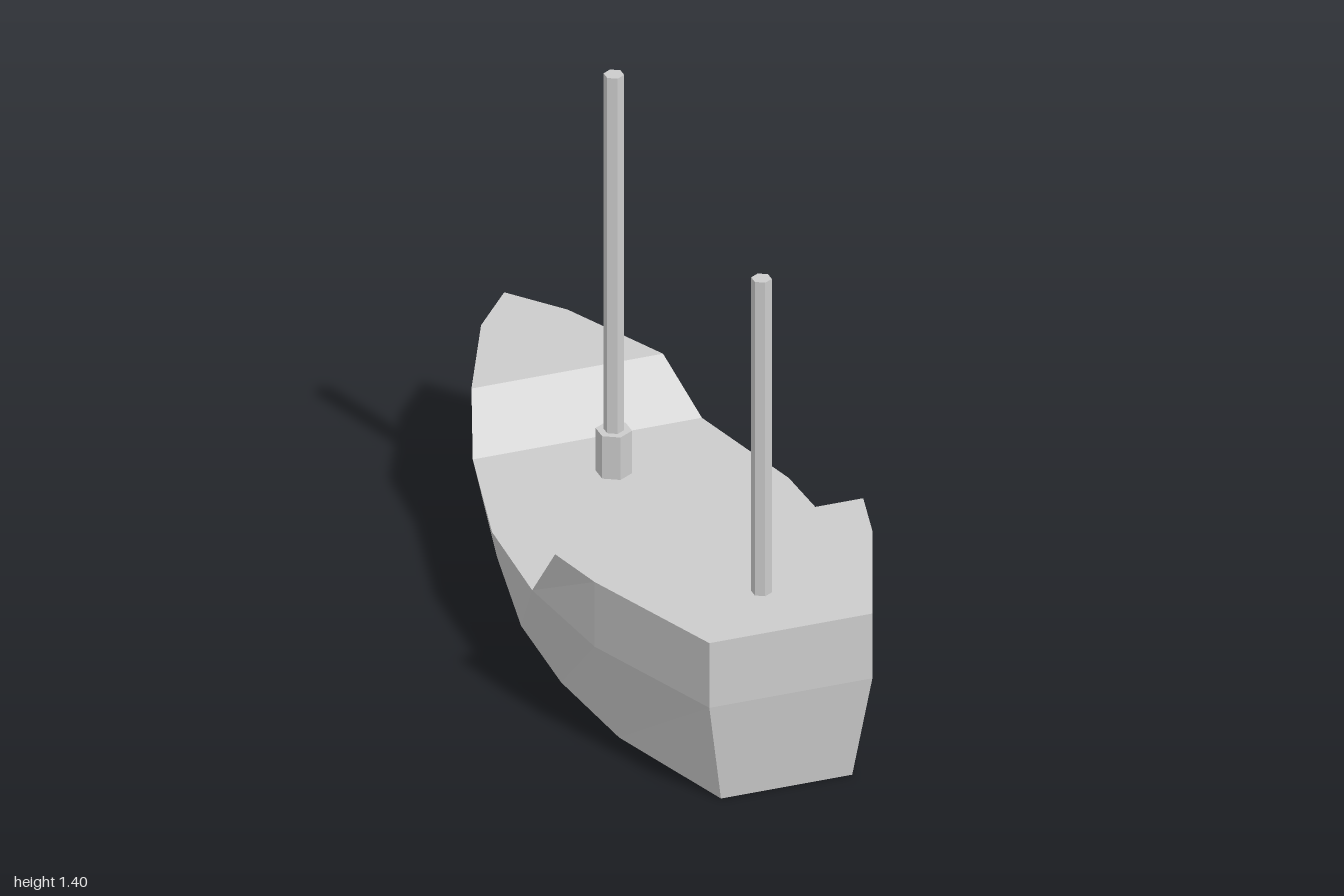
import * as THREE from 'three';

const material = new THREE.MeshStandardMaterial({
  color: 0xcccccc, flatShading: true, side: THREE.DoubleSide,
});

// Half-outlines from transom to stem, as [half width, height, z]
const sheer = [
  [0.217, 0.28, 1], [0.37, 0.28, 0.6], [0.41, 0.28, 0.27], [0.395, 0.28, -0.05],
  [0.305, 0.28, -0.42], [0.15, 0.28, -0.78], [0, 0.28, -0.95],
];
const keel = sheer.map(([x, , z]) => [x * 0.805, 0, z * 0.97]);
const sternRail = [[0.217, 0.463, 1], [0.37, 0.463, 0.6], [0.41, 0.463, 0.43]];
const bowRail = [[0.255, 0.4, -0.56], [0.115, 0.4, -0.86], [0, 0.4, -1]];

const flip = ([x, y, z]) => [-x, y, z];

function surface(name, quads) {
  const positions = quads.flatMap(([a, b, c, d]) => [a, b, c, a, c, d]).flat();
  const geometry = new THREE.BufferGeometry();
  geometry.setAttribute('position', new THREE.Float32BufferAttribute(positions, 3));
  geometry.computeVertexNormals();
  const mesh = new THREE.Mesh(geometry, material);
  mesh.name = name;
  return mesh;
}

// Planking between a lower and an upper half-outline, on both sides
function planking(name, lower, upper) {
  const quads = [];
  for (let i = 0; i < lower.length - 1; i++) {
    const q = [lower[i], lower[i + 1], upper[i + 1], upper[i]];
    quads.push(q, q.map(flip).reverse());
  }
  return surface(name, quads);
}

// Panel across the stern between two levels
const transom = (low, high) => [flip(low), low, high, flip(high)];

// Deck strips spanning from side to side along an edge line
function decking(name, edge) {
  const quads = [];
  for (let i = 0; i < edge.length - 1; i++) {
    quads.push([flip(edge[i]), edge[i], edge[i + 1], flip(edge[i + 1])]);
  }
  return surface(name, quads);
}

// Upright six-sided post
function post(name, radius, bottom, top, z) {
  const geometry = new THREE.CylinderGeometry(radius, radius, top - bottom, 6);
  const mesh = new THREE.Mesh(geometry, material);
  mesh.position.set(0, (bottom + top) / 2, z);
  mesh.name = name;
  return mesh;
}

export function createModel() {
  const model = new THREE.Group();
  model.name = 'ship';

  // Hull, open underneath
  const hull = new THREE.Group();
  hull.name = 'hull';
  hull.add(
    planking('lowerHull', keel, sheer),
    planking('sternBulwark', sheer.slice(0, 3), sternRail),
    planking('bowBulwark', sheer.slice(4), bowRail),
    surface('transom', [transom(keel[0], sheer[0]), transom(sheer[0], sternRail[0])]),
  );

  // Raised stern deck, low main deck with ramps, raised bow deck
  hull.add(
    decking('sternDeck', sternRail),
    decking('sternRamp', [sternRail[2], sheer[2]]),
    decking('mainDeck', sheer.slice(2, 5)),
    decking('bowRamp', [sheer[4], bowRail[0]]),
    decking('bowDeck', bowRail),
  );
  model.add(hull);

  // Masts
  model.add(
    post('sternMast', 0.026, 0.463, 1.35, 0.795),
    post('mainMast', 0.026, 0.28, 1.405, -0.235),
    post('mainMastBase', 0.046, 0.28, 0.4, -0.235),
  );
  return model;
}
